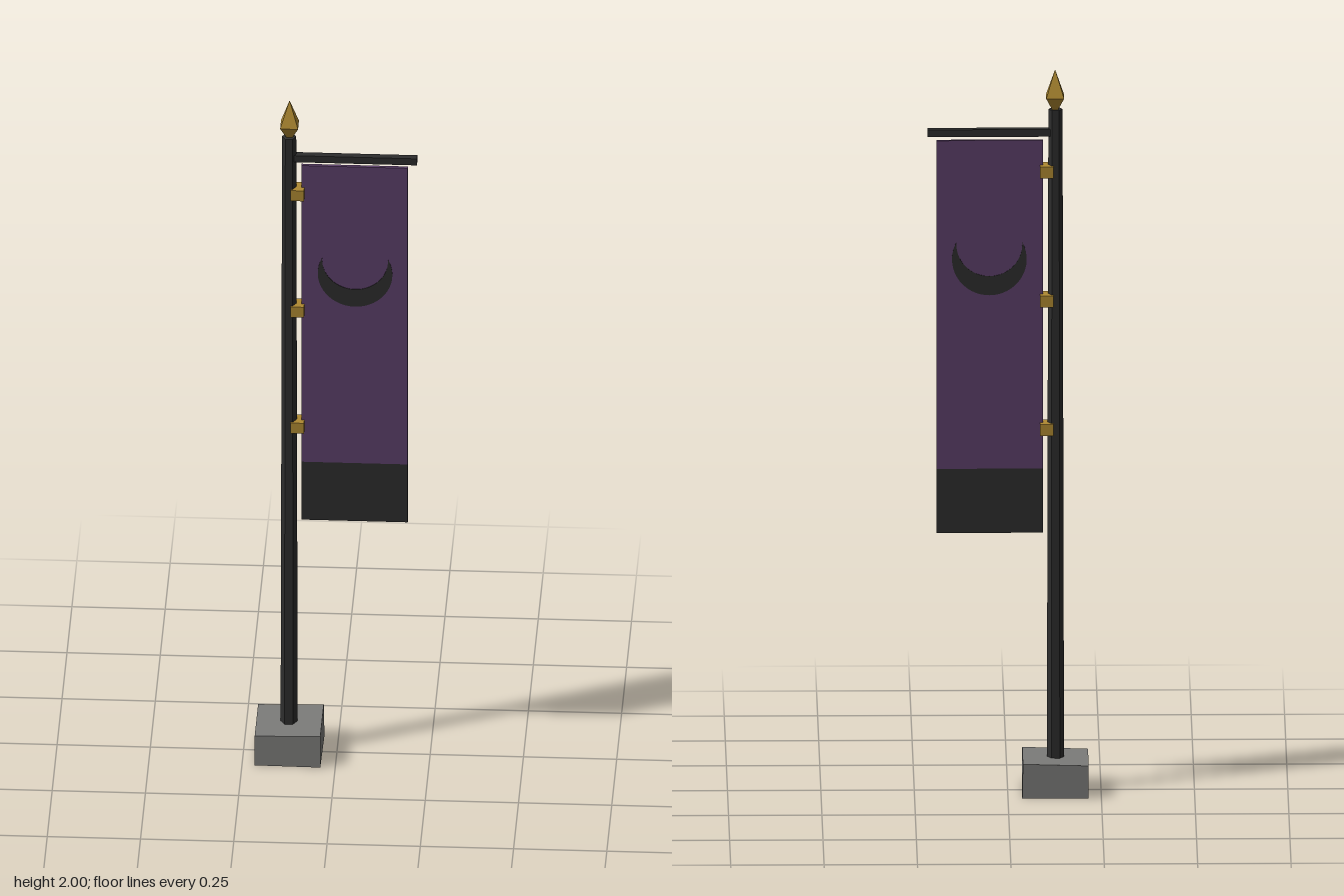
import * as THREE from 'three';

const mat = (name, color, extra = {}) => {
  const m = new THREE.MeshStandardMaterial({ color, flatShading: true, ...extra });
  m.name = name;
  return m;
};

export function createModel() {
  const group = new THREE.Group();
  group.name = 'bannerPole';
  const black = mat('black', 0x2d2d2d);
  const purple = mat('purple', 0x5c3f6a);
  const gold = mat('gold', 0xb08a32);
  const stone = mat('stone', 0x7c7c7a, { side: THREE.DoubleSide });
  const poleX = -0.128;

  const add = (name, geometry, material, x, y, z = 0) => {
    const mesh = new THREE.Mesh(geometry, material);
    mesh.name = name;
    mesh.position.set(x, y, z);
    group.add(mesh);
    return mesh;
  };
  const box = (name, material, x0, x1, y0, y1, depth, z = 0) =>
    add(name, new THREE.BoxGeometry(x1 - x0, y1 - y0, depth), material, (x0 + x1) / 2, (y0 + y1) / 2, z);

  // Hollow stone foot, open underneath, with slightly uneven corners
  const foot = new THREE.BoxGeometry(0.176, 0.092, 0.176);
  const index = Array.from(foot.index.array);
  index.splice(18, 6);
  foot.setIndex(index);
  const p = foot.attributes.position;
  for (let i = 0; i < p.count; i++) {
    const right = p.getX(i) > 0, top = p.getY(i) > 0, front = p.getZ(i) > 0;
    if (top) p.setY(i, p.getY(i) + (right ? 0.003 : -0.002));
    if (front) p.setZ(i, p.getZ(i) + (right ? 0 : -0.003));
    if (!top && right && !front) p.setX(i, p.getX(i) + 0.002);
  }
  foot.computeVertexNormals();
  add('stoneFoot', foot, stone, poleX, 0.046, -0.001);

  // Six-sided tapering pole
  const pole = new THREE.CylinderGeometry(0.019, 0.023, 1.845, 6);
  pole.rotateY(Math.PI / 6);
  add('pole', pole, black, poleX, 0.045 + 1.845 / 2);

  // Four-sided spear tip
  const tip = new THREE.Group();
  tip.name = 'spearTip';
  const corner = 0.024 * Math.SQRT2;
  [[0, corner, 1.925, 2.0], [corner, 0.011, 1.89, 1.925]].forEach(([rTop, rBottom, y0, y1], i) => {
    const g = new THREE.CylinderGeometry(rTop, rBottom, y1 - y0, 4, 1, i === 0);
    g.rotateY(Math.PI / 4);
    const mesh = new THREE.Mesh(g, gold);
    mesh.name = i ? 'tipBase' : 'tipPoint';
    mesh.position.set(poleX + 0.001, (y0 + y1) / 2, -0.001);
    tip.add(mesh);
  });
  group.add(tip);

  // Crossbar and clasps
  box('crossbar', black, -0.128, 0.215, 1.816, 1.836, 0.02, -0.001);
  for (const y of [1.005, 1.362, 1.72]) {
    box('clasp', gold, -0.123, -0.087, y - 0.016, y + 0.016, 0.047, -0.001);
  }

  // Cloth with a dark lower band
  box('bannerCloth', purple, -0.095, 0.19, 0.893, 1.804, 0.01);
  box('bannerBand', black, -0.095, 0.19, 0.715, 0.893, 0.01);

  // Crescent on both faces of the cloth
  const hornX = 0.088, hornY = 0.047, innerY = 0.041, innerR = 0.0882;
  const a = Math.atan2(hornY, hornX);
  const b = Math.atan2(hornY - innerY, hornX);
  const crescent = new THREE.Shape();
  crescent.absarc(0, 0, 0.1, Math.PI - a, 2 * Math.PI + a, false);
  crescent.absarc(0, innerY, innerR, 2 * Math.PI + b, Math.PI - b, true);
  const plate = new THREE.ExtrudeGeometry(crescent, { depth: 0.002, bevelEnabled: false, curveSegments: 16 });
  add('crescentFront', plate, black, 0.049, 1.475, 0.0045);
  add('crescentBack', plate, black, 0.049, 1.475, -0.0065);

  return group;
}
